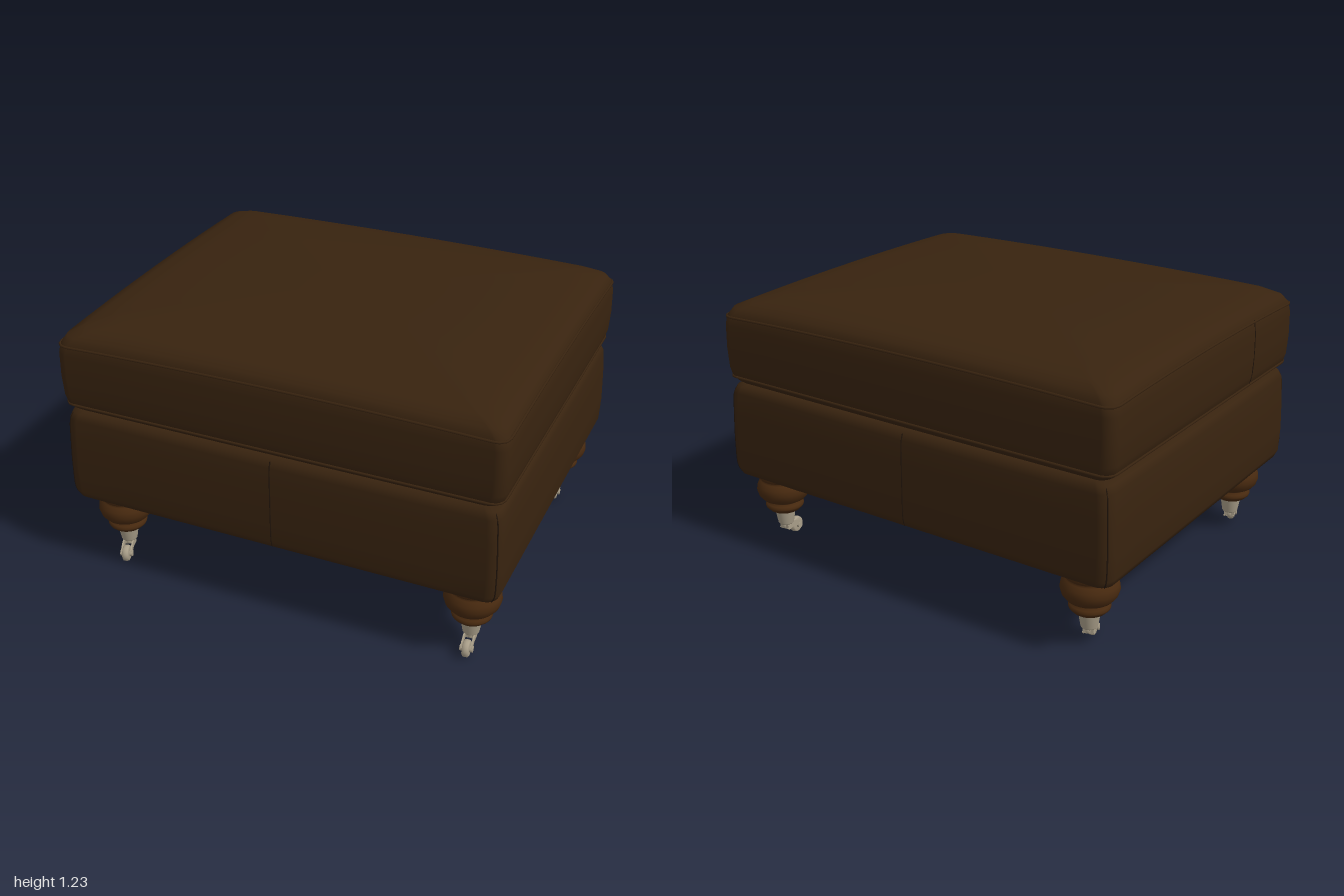
import * as THREE from 'three';

const mat = (name, color) => {
  const m = new THREE.MeshStandardMaterial({ color });
  m.name = name;
  return m;
};

// Rounded rectangle outline; droop lowers (or raises) the corners
function outline([hx, hz, r, y], droop = 0) {
  const pts = [];
  const arc = 8, edge = 10;
  const corners = [[1, 1], [-1, 1], [-1, -1], [1, -1]];
  corners.forEach(([sx, sz], q) => {
    for (let i = 0; i <= arc; i++) {
      const a = (q + i / arc) * Math.PI / 2;
      pts.push(new THREE.Vector3(sx * (hx - r) + r * Math.cos(a), y, sz * (hz - r) + r * Math.sin(a)));
    }
    const [nx, nz] = corners[(q + 1) % 4];
    const end = (q + 1) * Math.PI / 2;
    const from = pts[pts.length - 1].clone();
    const to = new THREE.Vector3(nx * (hx - r) + r * Math.cos(end), y, nz * (hz - r) + r * Math.sin(end));
    for (let i = 1; i < edge; i++) pts.push(from.clone().lerp(to, i / edge));
  });
  pts.forEach(p => { p.y -= droop * (p.x * p.z / 0.81) ** 2; });
  return pts;
}

// Skin over stacked outlines, listed from bottom to top
function loft(rings, droops) {
  const pos = [], index = [];
  let n = 0;
  rings.forEach((ring, k) => {
    const pts = outline(ring, droops[k]);
    n = pts.length;
    pts.forEach(p => pos.push(p.x, p.y, p.z));
  });
  for (let k = 0; k < rings.length - 1; k++) {
    for (let i = 0; i < n; i++) {
      const a = k * n + i, b = k * n + (i + 1) % n;
      index.push(a, a + n, b, b, a + n, b + n);
    }
  }
  const g = new THREE.BufferGeometry();
  g.setAttribute('position', new THREE.Float32BufferAttribute(pos, 3));
  g.setIndex(index);
  g.computeVertexNormals();
  return g;
}

const tube = (pts, r, closed, seg) =>
  new THREE.TubeGeometry(new THREE.CatmullRomCurve3(pts, closed, 'centripetal'), seg, r, 6, closed);

const lathe = (profile, seg = 32) =>
  new THREE.LatheGeometry(profile.map(([r, y]) => new THREE.Vector2(r, y)), seg);

export function createModel() {
  const model = new THREE.Group();
  model.name = 'footstool';
  const leather = mat('brown leather', 0x38230f);
  const stitch = mat('dark seam', 0x22150a);
  const wood = mat('turned wood', 0x47290f);
  const metal = mat('caster metal', 0xa89d88);

  const add = (parent, name, geo, material) => {
    const m = new THREE.Mesh(geo, material);
    m.name = name;
    parent.add(m);
    return m;
  };

  // Upholstered base
  const base = [
    [0, 0, 0, 0.345], [0.9, 0.72, 0.05, 0.345], [0.955, 0.775, 0.05, 0.347], [0.98, 0.797, 0.055, 0.36],
    [0.993, 0.807, 0.055, 0.39], [0.997, 0.809, 0.055, 0.5], [0.992, 0.807, 0.055, 0.65],
    [0.985, 0.803, 0.055, 0.75], [0.972, 0.793, 0.055, 0.78], [0.945, 0.77, 0.05, 0.794],
    [0.85, 0.68, 0.05, 0.796], [0, 0, 0, 0.796],
  ];
  add(model, 'base', loft(base, base.map(r => (r[3] > 0.7 && r[0] ? -0.006 : 0))), leather);

  // Cushion with domed top and tucked underside
  const cushion = [
    [0, 0, 0, 0.785], [0.9, 0.72, 0.05, 0.785], [0.94, 0.76, 0.05, 0.79], [0.965, 0.785, 0.05, 0.81],
    [0.983, 0.8, 0.05, 0.832], [0.993, 0.807, 0.05, 0.87], [0.998, 0.81, 0.05, 0.96],
    [0.996, 0.809, 0.05, 1.07], [0.988, 0.803, 0.05, 1.128], [0.968, 0.785, 0.06, 1.162],
    [0.91, 0.74, 0.07, 1.186], [0.8, 0.65, 0.07, 1.205], [0.5, 0.41, 0.05, 1.222],
    [0.2, 0.16, 0.02, 1.23], [0, 0, 0, 1.232],
  ];
  add(model, 'cushion', loft(cushion, cushion.map(r => (r[3] > 1.1 ? 0.018 : 0))), leather);

  // Piping around the cushion
  add(model, 'upperPiping', tube(outline([0.99, 0.805, 0.05, 1.125], 0.018), 0.006, true, 240), leather);
  add(model, 'lowerPiping', tube(outline([0.984, 0.801, 0.05, 0.832]), 0.006, true, 240), leather);

  // Seams on the front and back of the base and down its corners
  const side = base.slice(3, 9);
  for (const s of [1, -1]) {
    add(model, 'centreSeam', tube(side.map(r => new THREE.Vector3(0, r[3], s * r[1])), 0.003, false, 20), stitch);
    for (const t of [1, -1]) {
      const pts = side.map(([hx, hz, r, y]) =>
        new THREE.Vector3(t * (hx - r * 0.293), y, s * (hz - r * 0.293)));
      add(model, 'cornerSeam', tube(pts, 0.003, false, 20), stitch);
    }
  }
  // Short closing seam on one side of the cushion
  add(model, 'cushionSeam', tube(cushion.slice(4, 9).map(r =>
    new THREE.Vector3(-r[0], r[3], 0.4)), 0.002, false, 16), stitch);

  // Turned bun foot
  const footGeo = lathe([
    [0, 0.15], [0.062, 0.15], [0.07, 0.155], [0.076, 0.162], [0.085, 0.17], [0.088, 0.179], [0.083, 0.19],
    [0.07, 0.197], [0.076, 0.203], [0.098, 0.214], [0.115, 0.234], [0.123, 0.26], [0.119, 0.285],
    [0.105, 0.306], [0.096, 0.313], [0.106, 0.317], [0.114, 0.326], [0.116, 0.338], [0.114, 0.36],
  ], 40);
  // Caster pieces
  const cupGeo = lathe([[0, 0.076], [0.032, 0.076], [0.036, 0.082], [0.046, 0.14], [0.048, 0.155], [0, 0.155]]);
  const swivelGeo = lathe([[0, 0.05], [0.016, 0.05], [0.02, 0.056], [0.02, 0.08], [0, 0.08]], 20);
  const wheelGeo = lathe([
    [0.012, -0.015], [0.03, -0.015], [0.036, -0.011], [0.038, 0], [0.036, 0.011], [0.03, 0.015], [0.012, 0.015],
  ], 28).rotateZ(Math.PI / 2);
  const hubGeo = new THREE.CylinderGeometry(0.014, 0.014, 0.056, 16).rotateZ(Math.PI / 2);
  const arm = new THREE.Shape();
  arm.moveTo(-0.018, 0.055);
  arm.quadraticCurveTo(0.02, 0.094, 0.055, 0.068);
  arm.quadraticCurveTo(0.082, 0.058, 0.082, 0.036);
  arm.lineTo(0.062, 0.028);
  arm.quadraticCurveTo(0.05, 0.055, 0.02, 0.05);
  arm.lineTo(-0.012, 0.046);
  const armGeo = new THREE.ExtrudeGeometry(arm, { depth: 0.007, bevelEnabled: false, curveSegments: 8 })
    .translate(0, 0, -0.0035).rotateY(-Math.PI / 2);
  const bridgeGeo = new THREE.BoxGeometry(0.046, 0.022, 0.034);

  // Four legs, every caster trailing forward
  for (const [x, yaw, label] of [[0.845, 0.1, 'left'], [-0.82, 0.32, 'right']]) {
    for (const z of [0.65, -0.645]) {
      const leg = new THREE.Group();
      leg.name = label + (z > 0 ? 'FrontLeg' : 'BackLeg');
      leg.position.set(x, 0, z);
      add(leg, 'bunFoot', footGeo, wood);
      add(leg, 'casterCup', cupGeo, metal);
      const caster = new THREE.Group();
      caster.name = 'caster';
      caster.rotation.y = yaw;
      add(caster, 'swivel', swivelGeo, metal);
      add(caster, 'forkBridge', bridgeGeo, metal).position.set(0, 0.062, 0);
      for (const s of [1, -1]) add(caster, 'forkArm', armGeo, metal).position.x = s * 0.0215;
      add(caster, 'wheel', wheelGeo, metal).position.set(0, 0.038, 0.07);
      add(caster, 'wheelHub', hubGeo, metal).position.set(0, 0.038, 0.07);
      leg.add(caster);
      model.add(leg);
    }
  }
  return model;
}
